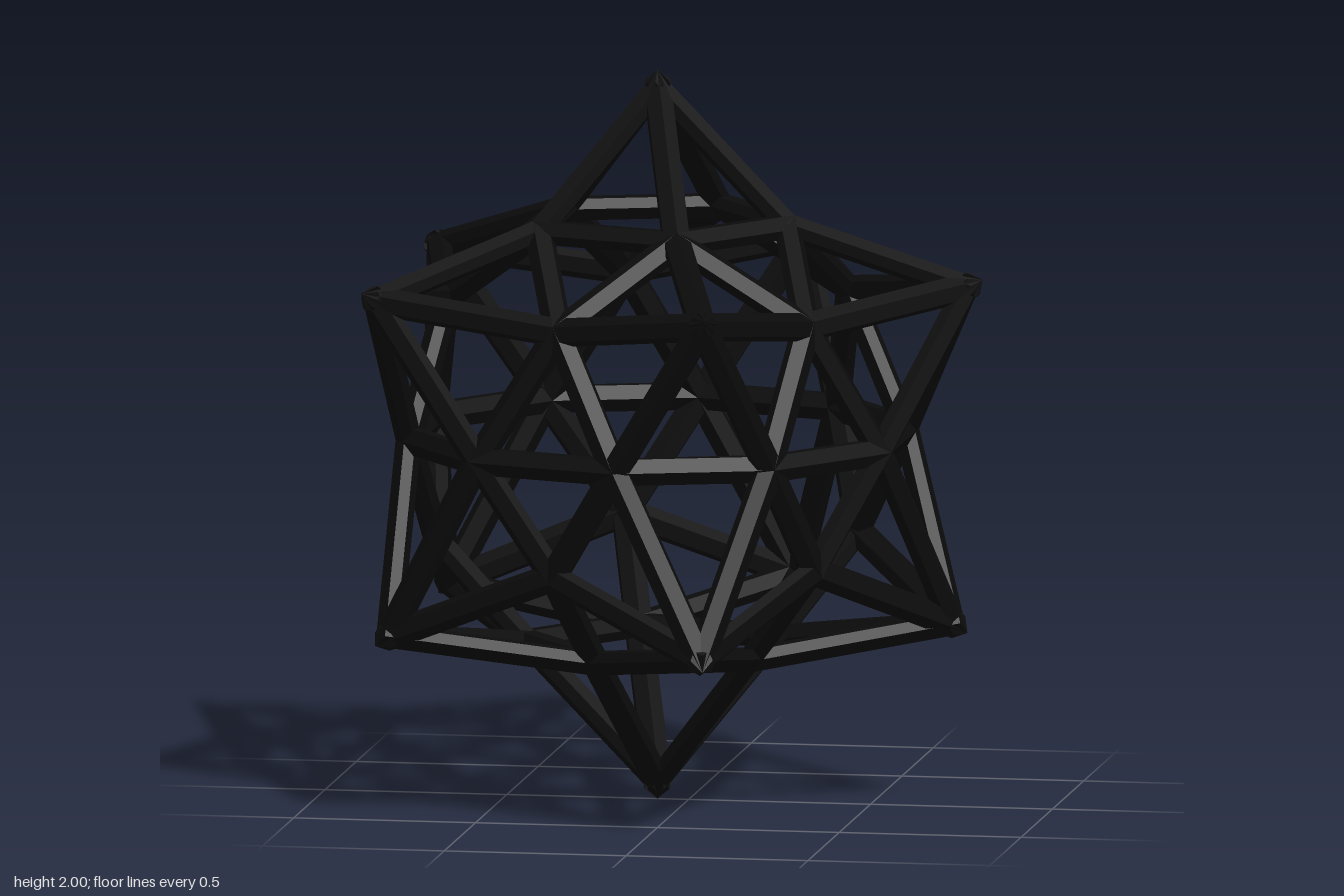
import * as THREE from 'three';
import { mergeGeometries } from 'three/addons/utils/BufferGeometryUtils.js';

const NODE = 0.717; // radius of the inner cage corners
const polar = (deg, y, r) => {
  const a = THREE.MathUtils.degToRad(deg);
  return new THREE.Vector3(r * Math.cos(a), y, r * Math.sin(a));
};
// a ring of points on a sphere of radius R at height y
const ring = (count, start, y, R) => Array.from({ length: count }, (_, i) =>
  polar(start + i * 360 / count, y, Math.sqrt(R * R - y * y)));

// strut cross-section: [sideways, depth below the outer ridge]
const PROFILE = [[0, 0], [0.036, 0.02], [0.036, 0.05], [0, 0.07], [-0.036, 0.05], [-0.036, 0.02]];

// six-sided strut from p to q, mitred at both ends on planes through the centre
function strut(p, q) {
  const d = q.clone().sub(p).normalize();
  const up = p.clone().add(q);
  up.addScaledVector(d, -up.dot(d)).normalize();
  const side = new THREE.Vector3().crossVectors(up, d);
  const ends = [p, q].map((v) => {
    const axis = v.clone().normalize();
    const n = d.clone().addScaledVector(axis, -d.dot(axis));
    return PROFILE.map(([s, h]) => {
      const c = v.clone().addScaledVector(side, s).addScaledVector(up, -h);
      return c.addScaledVector(d, -c.dot(n) / d.dot(n));
    });
  });
  const pos = [];
  const tri = (a, b, c) => [a, b, c].forEach((v) => pos.push(v.x, v.y, v.z));
  const [A, B] = ends;
  for (let i = 0; i < 6; i++) {
    const j = (i + 1) % 6;
    tri(A[i], B[j], A[j]);
    tri(A[i], B[i], B[j]);
    if (i > 0 && i < 5) {
      tri(A[0], A[i], A[j]);
      tri(B[0], B[j], B[i]);
    }
  }
  const g = new THREE.BufferGeometry();
  g.setAttribute('position', new THREE.Float32BufferAttribute(pos, 3));
  g.computeVertexNormals();
  return g;
}

export function createModel() {
  const group = new THREE.Group();
  const material = new THREE.MeshStandardMaterial({ color: 0x0b0b0b, flatShading: true, side: THREE.DoubleSide });
  const add = (name, pairs) => {
    const mesh = new THREE.Mesh(mergeGeometries(pairs.map(([p, q]) => strut(p, q))), material);
    mesh.name = name;
    group.add(mesh);
  };
  const loop = (pts) => pts.map((p, i) => [p, pts[(i + 1) % pts.length]]);
  const fan = (tip, pts) => pts.map((p) => [tip, p]);

  // corners of the cage, ring by ring
  const topRing = ring(5, 0, 0.8507 * NODE, NODE);
  const upperRing = ring(5, 36, 0.5257 * NODE, NODE);
  const belt = ring(10, 18, 0, NODE);
  const lowerRing = ring(5, 36, -0.325, NODE);
  const bottomRing = ring(5, 36, -0.8507 * NODE, NODE);
  // points of the spikes
  const topTip = new THREE.Vector3(0, 1, 0);
  const bottomTip = new THREE.Vector3(0, -1, 0);
  const upperTips = ring(5, 0, 0.447, 1);
  const lowerTips = ring(5, 0, -0.523, 1);

  const upperCage = [...loop(topRing)];
  const lowerCage = [...loop(bottomRing)];
  const upperSpikes = [];
  const lowerSpikes = [];
  for (let i = 0; i < 5; i++) {
    const prev = (i + 4) % 5;
    const beltPair = [belt[2 * i], belt[2 * i + 1]];
    upperCage.push([topRing[i], upperRing[i]], [topRing[i], upperRing[prev]], ...fan(upperRing[i], beltPair));
    lowerCage.push([lowerRing[i], bottomRing[i]], ...fan(lowerRing[i], beltPair));
    // each side spike stands on the opening around its own direction
    const beltEdge = [belt[2 * i], belt[(2 * i + 9) % 10]];
    upperSpikes.push(...fan(upperTips[i], [topRing[i], upperRing[i], upperRing[prev], ...beltEdge]));
    lowerSpikes.push(...fan(lowerTips[i],
      [lowerRing[i], lowerRing[prev], bottomRing[i], bottomRing[prev], ...beltEdge]));
  }

  add('beltRing', loop(belt));
  add('upperCage', upperCage);
  add('lowerCage', lowerCage);
  add('topSpike', fan(topTip, topRing));
  add('bottomSpike', fan(bottomTip, bottomRing));
  add('upperSideSpikes', upperSpikes);
  add('lowerSideSpikes', lowerSpikes);

  group.children.forEach((m) => m.position.set(-0.086, 1, 0));
  return group;
}
